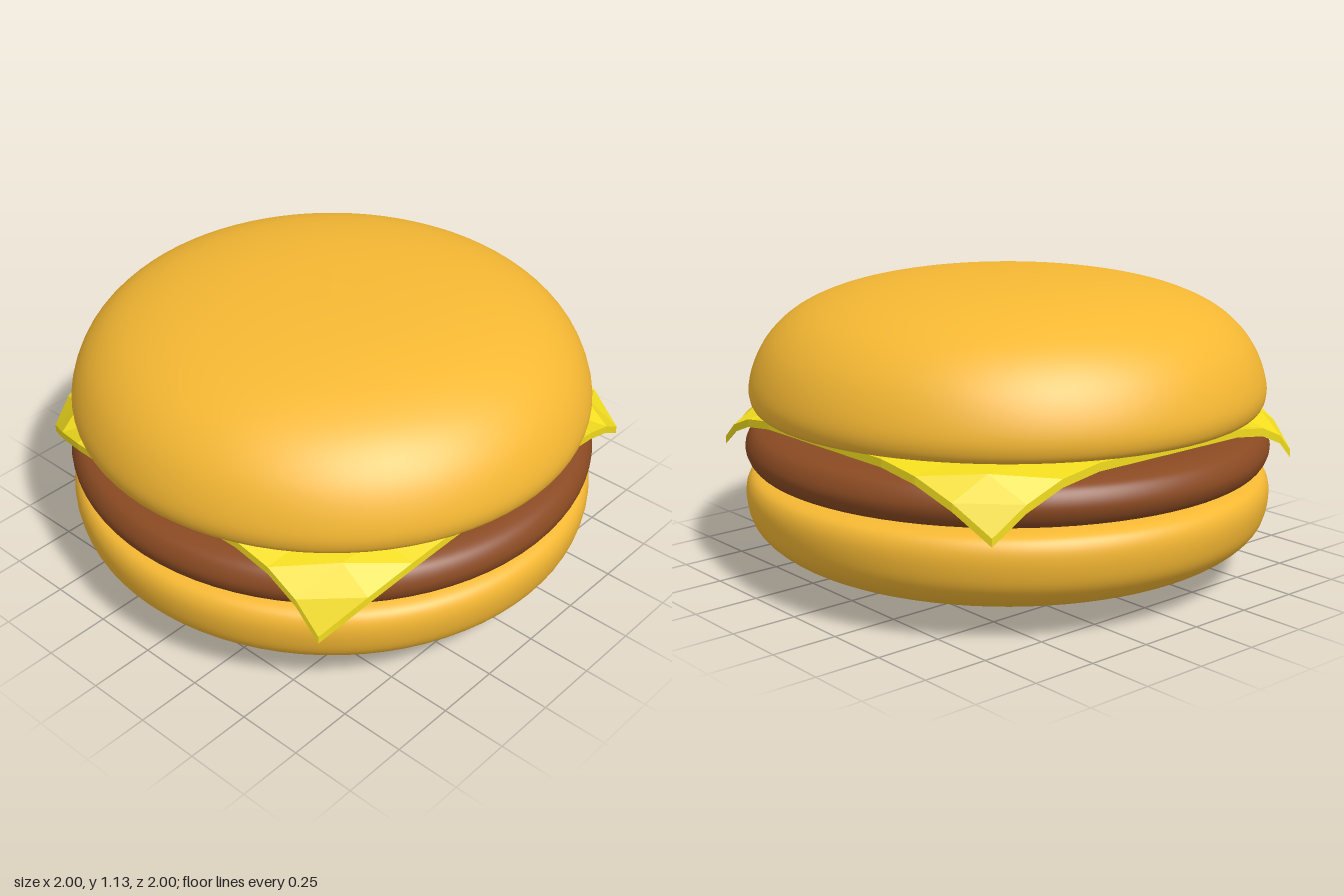
import * as THREE from 'three';

// Smooth turned solid from a few profile points, listed bottom to top
function turned(name, color, points) {
  const curve = new THREE.CatmullRomCurve3(
    points.map(([r, y]) => new THREE.Vector3(r, y, 0)), false, 'centripetal');
  const profile = curve.getPoints(60).map(p => new THREE.Vector2(Math.max(0, p.x), p.y));
  const mesh = new THREE.Mesh(
    new THREE.LatheGeometry(profile, 80),
    new THREE.MeshStandardMaterial({ color }));
  mesh.name = name;
  return mesh;
}

// Thin square slice whose corners sag over the patty
function cheeseSlice() {
  const half = 0.86, thickness = 0.03, topY = 0.628;
  // Lowest point of each corner
  const tips = [
    [0.70, 0.36, 0.83], [0.80, 0.44, -0.77],
    [-0.78, 0.40, -0.745], [-0.81, 0.45, 0.71],
  ];
  const geometry = new THREE.BoxGeometry(2 * half, thickness, 2 * half, 10, 1, 10);
  const pos = geometry.attributes.position;
  const flatRadius = 0.93, cornerRadius = half * Math.SQRT2;
  for (let i = 0; i < pos.count; i++) {
    const x = pos.getX(i), z = pos.getZ(i);
    const [tx, ty, tz] = tips.find(t => t[0] * x >= 0 && t[2] * z >= 0);
    const w = Math.max(0, (Math.hypot(x, z) - flatRadius) / (cornerRadius - flatRadius));
    const bend = w ** 1.4;
    pos.setXYZ(i,
      x + (tx - Math.sign(x) * half) * bend,
      topY - thickness / 2 + pos.getY(i) - (topY - thickness - ty) * bend,
      z + (tz - Math.sign(z) * half) * bend);
  }
  geometry.computeVertexNormals();
  const mesh = new THREE.Mesh(geometry,
    new THREE.MeshStandardMaterial({ color: 0xf2dc1e, flatShading: true }));
  mesh.name = 'cheeseSlice';
  return mesh;
}

export function createModel() {
  const group = new THREE.Group();
  group.name = 'cheeseburger';
  const bun = 0xf5b833;

  group.add(
    turned('bottomBun', bun, [
      [0, 0.004], [0.25, 0.01], [0.52, 0.035], [0.75, 0.08], [0.9, 0.14], [0.975, 0.21],
      [1, 0.29], [0.998, 0.355], [0.975, 0.392], [0.91, 0.41], [0.8, 0.412], [0, 0.412],
    ]),
    turned('patty', 0x8a4a22, [
      [0, 0.412], [0.8, 0.412], [0.92, 0.417], [0.975, 0.44], [1, 0.498],
      [0.975, 0.557], [0.92, 0.581], [0.8, 0.586], [0, 0.586],
    ]),
    cheeseSlice(),
    turned('topBun', bun, [
      [0, 0.63], [0.8, 0.63], [0.9, 0.635], [0.96, 0.65], [0.98, 0.70], [0.968, 0.78],
      [0.915, 0.89], [0.82, 0.985], [0.68, 1.055], [0.48, 1.105], [0.24, 1.131], [0, 1.138],
    ]),
  );
  return group;
}
